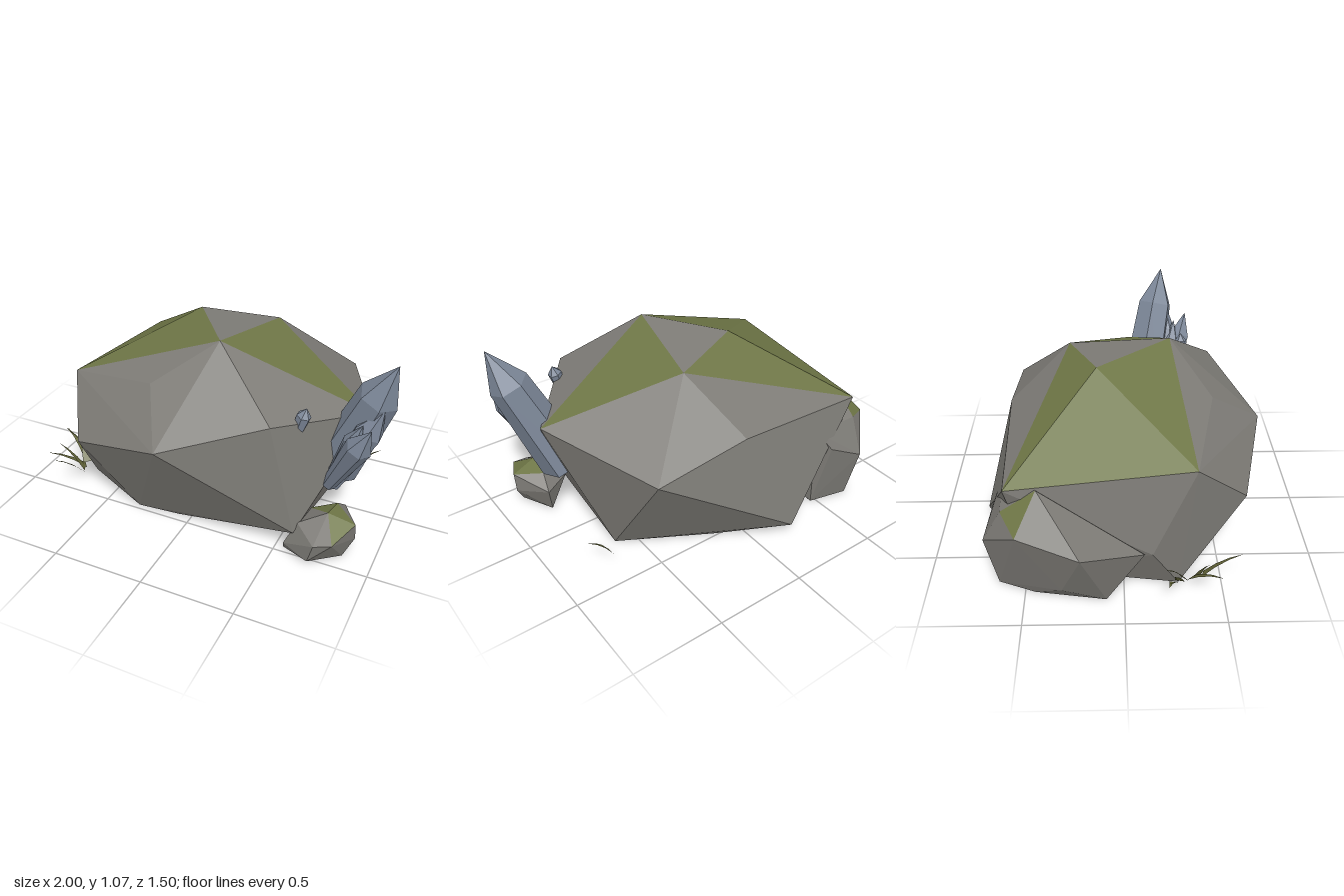
import * as THREE from 'three';
import { ConvexGeometry } from 'three/addons/geometries/ConvexGeometry.js';

const mat = (color, side = THREE.DoubleSide) =>
  new THREE.MeshStandardMaterial({ color, side, flatShading: true, roughness: 0.9 });

const stone = mat(0x7d7b76);
const moss = mat(0x6e7646);
const crystal = mat(0x7c8798, THREE.FrontSide);
const grass = mat(0x66683a);

function mesh(geometry, material, name) {
  const m = new THREE.Mesh(geometry, material);
  m.name = name;
  return m;
}

// Faceted rock shell, open where it rests on the ground: hull of named corners.
// Facets whose corners are all mossy turn green, except one made only of bare corners.
function rock(name, corners, mossy, bare = '') {
  const entries = Object.entries(corners).map(([k, p]) => [k, new THREE.Vector3(...p)]);
  const pos = new ConvexGeometry(entries.map(e => e[1])).getAttribute('position');
  const bareList = [], mossList = [], v = new THREE.Vector3();
  for (let i = 0; i < pos.count; i += 3) {
    const tri = [], keys = [];
    for (let j = 0; j < 3; j++) {
      v.fromBufferAttribute(pos, i + j);
      tri.push(v.x, v.y, v.z);
      keys.push(entries.find(e => e[1].distanceTo(v) < 1e-3)[0]);
    }
    if (keys.every(k => corners[k][1] === 0)) continue;
    const green = keys.every(k => mossy.includes(k)) && !keys.every(k => bare.includes(k));
    (green ? mossList : bareList).push(...tri);
  }
  const group = new THREE.Group();
  group.name = name;
  for (const [list, material, part] of [[bareList, stone, 'Stone'], [mossList, moss, 'Moss']]) {
    const g = new THREE.BufferGeometry();
    g.setAttribute('position', new THREE.Float32BufferAttribute(list, 3));
    g.computeVertexNormals();
    group.add(mesh(g, material, name + part));
  }
  return group;
}

// Six-sided crystal with a pointed tip, standing along base -> tip
function shard(base, tip, r, foot, turn = 0) {
  const a = new THREE.Vector3(...base), dir = new THREE.Vector3(...tip).sub(a);
  const h = dir.length();
  const profile = [[0, 0], [r * foot, 0], [r, h * 0.72], [0, h]].map(p => new THREE.Vector2(...p));
  const m = mesh(new THREE.LatheGeometry(profile, 6, turn), crystal, 'crystal');
  m.position.copy(a);
  m.quaternion.setFromUnitVectors(new THREE.Vector3(0, 1, 0), dir.normalize());
  return m;
}

// Curved grass blade narrowing to its tip
function blade(base, tip, width) {
  const a = new THREE.Vector3(...base), b = new THREE.Vector3(...tip);
  const mid = a.clone().lerp(b, 0.45);
  mid.y += 0.035;
  const curve = new THREE.QuadraticBezierCurve3(a, mid, b);
  const across = new THREE.Vector3(b.z - a.z, 0, a.x - b.x).normalize();
  const verts = [], index = [], n = 3;
  for (let i = 0; i <= n; i++) {
    const p = curve.getPoint(i / n), w = width * 0.5 * (1 - i / n);
    for (const s of [-w, w]) verts.push(p.x + across.x * s, p.y, p.z + across.z * s);
    if (i < n) index.push(2 * i, 2 * i + 1, 2 * i + 2, 2 * i + 1, 2 * i + 3, 2 * i + 2);
  }
  const g = new THREE.BufferGeometry();
  g.setAttribute('position', new THREE.Float32BufferAttribute(verts, 3));
  g.setIndex(index);
  g.computeVertexNormals();
  return mesh(g, grass, 'grassBlade');
}

function cluster(name, parts) {
  const g = new THREE.Group();
  g.name = name;
  g.add(...parts);
  return g;
}

export function createModel() {
  const model = new THREE.Group();
  model.name = 'mossyBoulder';

  // Main boulder
  model.add(rock('boulder', {
    A: [-0.73, 0.6, -0.58], B: [0.57, 0.575, -0.59], C: [0.2, 0.93, -0.28],
    D: [-0.2, 0.98, -0.13], E: [0.09, 1.005, 0.26], F: [-0.73, 0.7, 0.35],
    G: [0.84, 0.665, 0.06], H: [-0.57, 0.44, 0.62], I: [-0.04, 0.59, 0.75],
    J: [0.47, 0.74, 0.52], K: [-0.2, 0.8, 0.47], L: [-0.17, 0.09, -0.75],
    O: [0.05, 0.655, -0.605], P: [0.6, 0.13, 0.49], Q: [0.61, 0, -0.22],
    R: [-0.79, 0.25, 0.14], S: [-0.71, 0, 0.28], T: [-0.31, 0, 0.47],
    V: [0.15, 0, -0.48], W: [-0.07, 0, 0.45], X: [-0.6, 0, -0.45],
  }, 'ACDEFG', 'CDE'));

  // Rock leaning on the right rear corner
  model.add(rock('sideRock', {
    a: [-0.74, 0.61, -0.42], b: [-1, 0.39, -0.21], c: [-0.88, 0.43, -0.52],
    d: [-0.71, 0.29, -0.7], e: [-0.52, 0.38, -0.66], f: [-0.8, 0.26, 0.1],
    g: [-0.87, 0.1, -0.31], h: [-0.69, 0, -0.64], i: [-0.47, 0, -0.59],
    j: [-0.83, 0, -0.09], k: [-0.36, 0.2, -0.24], l: [-0.73, 0.48, -0.6],
    m: [-0.77, 0, -0.45], n: [-0.5, 0, 0.04], o: [-0.44, 0.5, -0.61],
  }, 'acl'));

  // Pebble at the left front
  model.add(rock('pebble', {
    a: [0.75, 0.245, 0.4], b: [0.61, 0.18, 0.46], c: [0.89, 0.2, 0.38],
    d: [0.73, 0.14, 0.56], e: [0.82, 0.16, 0.54], f: [0.89, 0.1, 0.36],
    g: [0.78, 0.15, 0.18], h: [0.55, 0.05, 0.49], i: [0.84, 0, 0.4],
    j: [0.7, 0.03, 0.55], k: [0.54, 0, 0.46], l: [0.75, 0, 0.22],
    m: [0.62, 0.15, 0.28], n: [0.76, 0.22, 0.27], o: [0.68, 0, 0.48],
  }, 'acenm'));

  // Crystals growing from the left flank, plus a tiny one on the shoulder
  model.add(cluster('crystals', [
    shard([0.69, 0.36, 0.135], [0.99, 1.065, 0.268], 0.105, 1.25, 0.3),
    shard([0.71, 0.33, 0.25], [0.955, 0.845, 0.3], 0.075, 0.75),
    shard([0.71, 0.34, 0.29], [0.93, 0.79, 0.425], 0.068, 0.55, 0.4),
    shard([0.7, 0.32, 0.27], [0.87, 0.765, 0.35], 0.055, 0.6, 0.2),
    shard([0.55, 0.64, 0.37], [0.597, 0.8, 0.37], 0.038, 0.7),
  ]));

  // Grass tufts
  const tips = [
    [-0.96, 0.19, 0.21], [-0.92, 0.21, 0.24], [-0.87, 0.22, 0.2],
    [-0.9, 0.19, 0.48], [-0.85, 0.24, 0.43], [-0.78, 0.24, 0.59],
  ];
  model.add(cluster('rightGrass', tips.map((t, i) =>
    blade([-0.78 + 0.012 * i, 0.06, 0.25 + 0.03 * i], t, 0.05))));
  model.add(cluster('leftGrass', [blade([0.7, 0.06, -0.33], [0.83, 0.19, -0.34], 0.05)]));

  return model;
}
